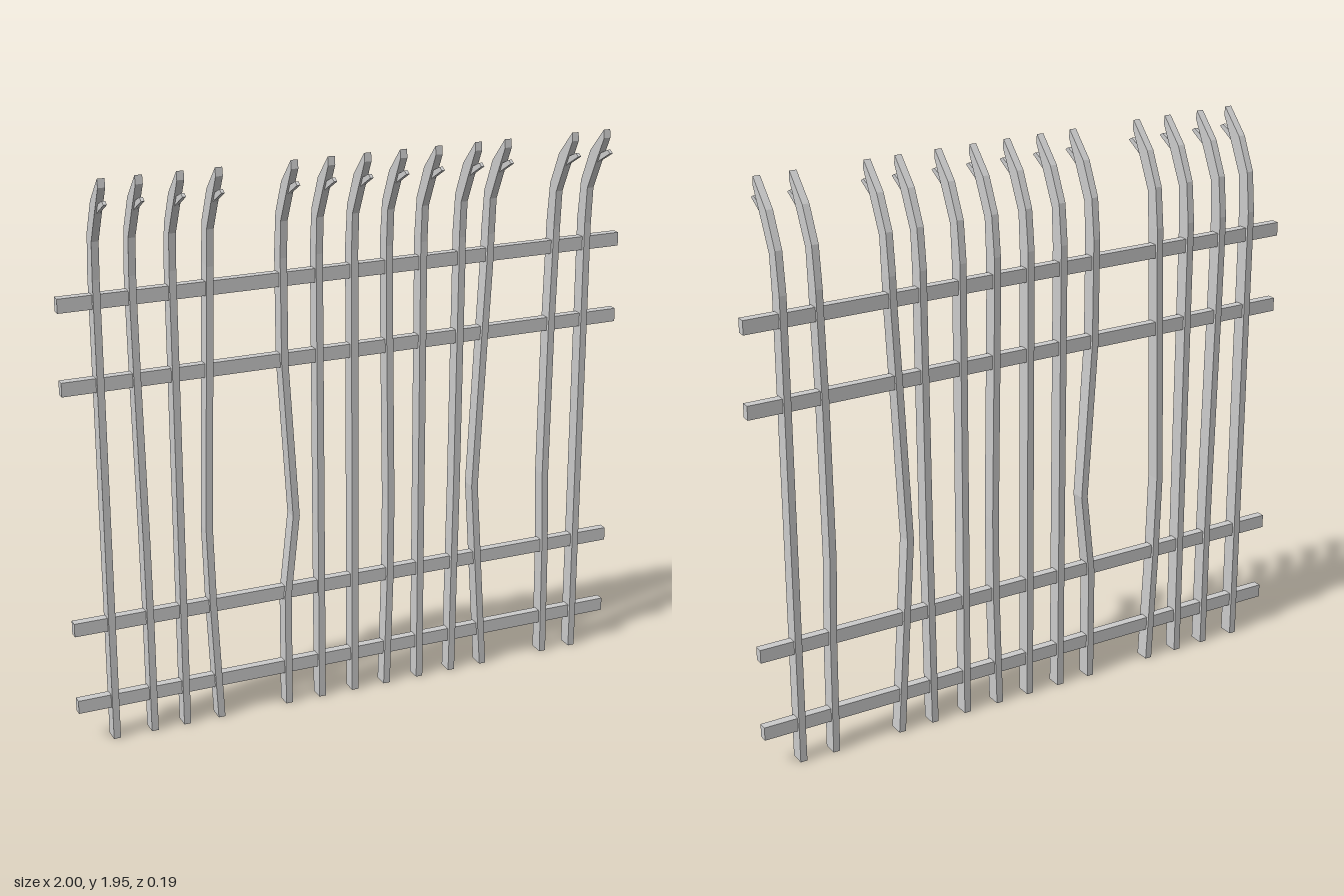
import * as THREE from 'three';

const material = new THREE.MeshStandardMaterial({ color: 0xcccccc, flatShading: true });

// Four-sided bar through sections [frontZ, frontY, backZ, backY, x], capped at both ends
function loftBar(sections, halfWidth) {
  const points = [], index = [];
  for (const [fz, fy, bz, by, x] of sections) {
    points.push(x + halfWidth, fy, fz, x + halfWidth, by, bz);
    points.push(x - halfWidth, by, bz, x - halfWidth, fy, fz);
  }
  for (let s = 0; s < sections.length - 1; s++) {
    for (let i = 0; i < 4; i++) {
      const a = s * 4 + i, b = s * 4 + (i + 1) % 4;
      index.push(a, b, b + 4, a, b + 4, a + 4);
    }
  }
  const t = (sections.length - 1) * 4;
  index.push(0, 2, 1, 0, 3, 2, t, t + 1, t + 2, t, t + 2, t + 3);
  const indexed = new THREE.BufferGeometry();
  indexed.setAttribute('position', new THREE.Float32BufferAttribute(points, 3));
  indexed.setIndex(index);
  const geometry = indexed.toNonIndexed();
  geometry.computeVertexNormals();
  return geometry;
}

// Heights at which a picket may be bent sideways
const bendHeights = [0, 0.41, 0.7, 1.25, 1.5];
// Curved upper end: [frontZ, frontY, backZ, backY]
const hook = [
  [-0.041, 1.603, -0.093, 1.61],
  [-0.033, 1.727, -0.077, 1.747],
  [0.013, 1.82, -0.023, 1.86],
  [0.064, 1.917, 0.06, 1.945],
];
// Small lower barb of the forked tip
const barb = [
  [0.005, 1.818, 0.005, 1.862],
  [0.03, 1.835, 0.03, 1.859],
  [0.095, 1.871, 0.078, 1.88],
];

// Top x of each picket, then sideways offsets at the bend heights
const pickets = [
  [-0.875],
  [-0.757, [0.016, 0.015, 0.012, 0.003, 0]],
  [-0.625],
  [-0.5, [0, -0.019, -0.027, -0.011, -0.003]],
  [-0.25, [0, 0.001, 0.034, 0, 0]],
  [-0.125],
  [0],
  [0.125, [-0.003, 0.009, 0.011, 0.003, 0]],
  [0.25],
  [0.392, [-0.015, -0.01, -0.006, -0.002, 0]],
  [0.5, [0.003, -0.024, -0.043, -0.016, -0.003]],
  [0.75, [0, -0.004, -0.013, -0.008, -0.002]],
  [0.87],
];

function makePicket(x, offsets = [0, 0, 0, 0, 0]) {
  const picket = new THREE.Group();
  picket.name = 'picket';
  const shaft = bendHeights.map((y, i) => [-0.041, y, -0.093, y, offsets[i]]);
  const curve = hook.map((section) => [...section, 0]);
  const post = new THREE.Mesh(loftBar([...shaft, ...curve], 0.012), material);
  post.name = 'picketShaft';
  const tip = new THREE.Mesh(loftBar(barb.map((section) => [...section, 0]), 0.0055), material);
  tip.name = 'picketBarb';
  picket.add(post, tip);
  picket.position.x = x;
  return picket;
}

export function createModel() {
  const fence = new THREE.Group();
  fence.name = 'fence';

  for (const [x, offsets] of pickets) fence.add(makePicket(x, offsets));

  // Horizontal rails passing through the pickets
  for (const y of [0.137, 0.42, 1.255, 1.529]) {
    const rail = new THREE.Mesh(new THREE.BoxGeometry(2, 0.047, 0.03), material);
    rail.name = 'rail';
    rail.position.set(0, y, -0.068);
    fence.add(rail);
  }
  return fence;
}
